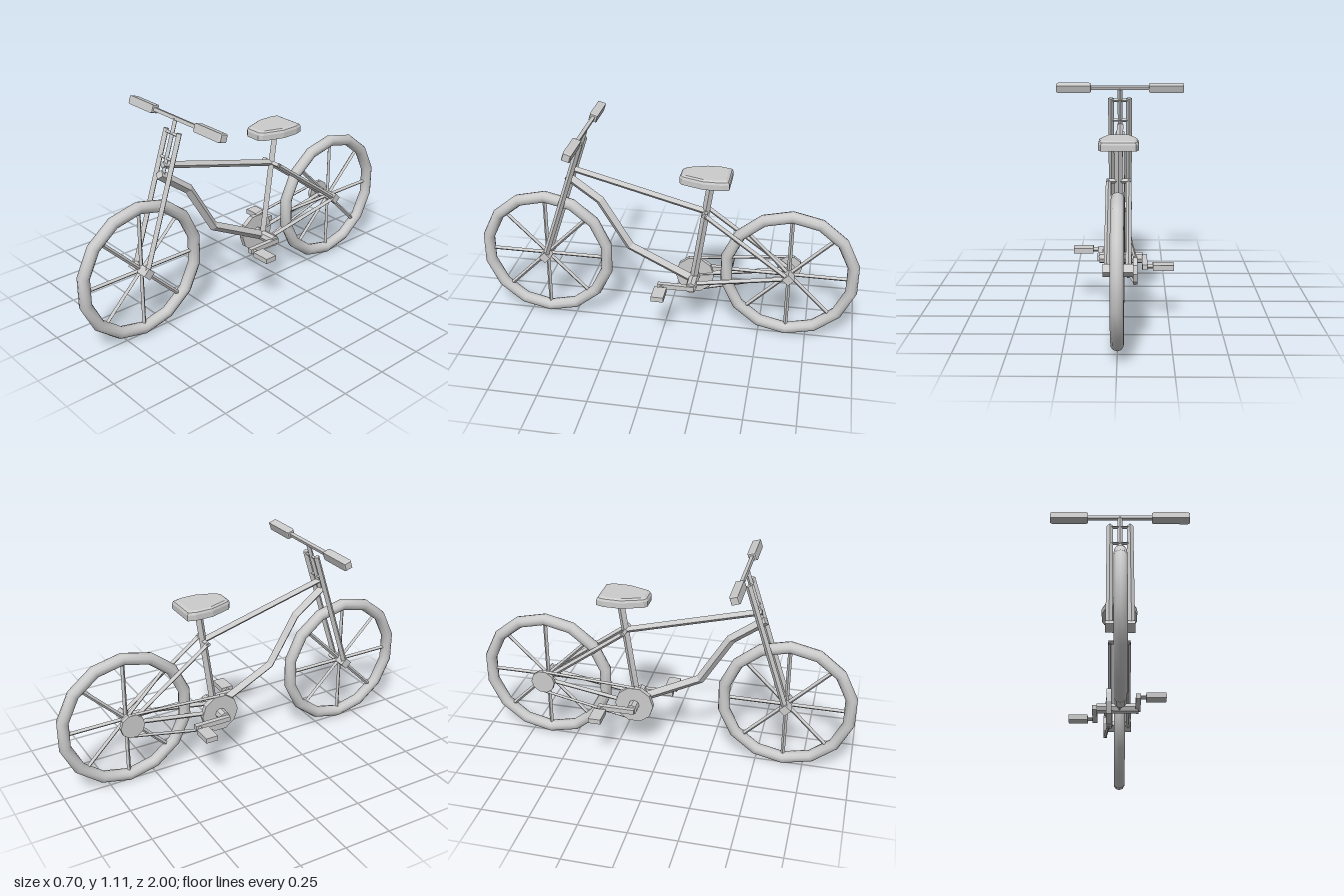
import * as THREE from 'three';

const flat = new THREE.MeshStandardMaterial({ color: 0xcccccc, flatShading: true });
const smooth = new THREE.MeshStandardMaterial({ color: 0xcccccc });
const UP = new THREE.Vector3(0, 1, 0);

export function createModel() {
  const model = new THREE.Group();
  model.name = 'bicycle';

  const add = (name, geometry, material = flat, parent = model) => {
    const mesh = new THREE.Mesh(geometry, material);
    mesh.name = name;
    parent.add(mesh);
    return mesh;
  };

  // Straight bar between two points, four-sided by default
  const bar = (name, a, b, r, sides = 4, parent = model) => {
    const p = new THREE.Vector3(...a), q = new THREE.Vector3(...b);
    const dir = q.clone().sub(p);
    const mesh = add(name, new THREE.CylinderGeometry(r, r, dir.length(), sides), flat, parent);
    mesh.position.copy(p).add(q).multiplyScalar(0.5);
    mesh.quaternion.setFromUnitVectors(UP, dir.normalize());
    return mesh;
  };

  const box = (name, size, pos) => {
    const mesh = add(name, new THREE.BoxGeometry(...size), flat);
    mesh.position.set(...pos);
    return mesh;
  };

  // Wheels: tyre and eight spokes
  const hubY = 0.365, hubZ = 0.645;
  for (const [name, z] of [['frontWheel', hubZ], ['rearWheel', -hubZ]]) {
    const wheel = new THREE.Group();
    wheel.name = name;
    wheel.position.set(0, hubY, z);
    model.add(wheel);
    const tyre = new THREE.TorusGeometry(0.332, 0.031, 10, 14);
    tyre.rotateZ(Math.PI / 2).rotateY(Math.PI / 2);
    add('tyre', tyre, smooth, wheel);
    for (let i = 0; i < 8; i++) {
      const a = i * Math.PI / 4;
      bar('spoke', [0, 0, 0], [0, Math.cos(a) * 0.315, Math.sin(a) * 0.315], 0.011, 4, wheel);
    }
  }
  bar('frontHub', [-0.067, hubY, hubZ], [0.067, hubY, hubZ], 0.031);
  bar('rearHub', [-0.09, hubY, -hubZ], [0.067, hubY, -hubZ], 0.031);

  // Steering axis: raked line through the front hub
  const rake = 0.315;
  const onFork = (x, y) => [x, y, hubZ - (y - hubY) * Math.tan(rake)];
  for (const s of [-1, 1]) bar('forkLeg', onFork(s * 0.05, hubY), onFork(s * 0.05, 1.03), 0.016);
  for (const y of [1.017, 0.902]) bar('forkBridge', onFork(-0.05, y), onFork(0.05, y), 0.009);
  bar('stem', onFork(0, 0.83), onFork(0, 1.085), 0.013);

  // Handlebar and bevelled grips
  const barPos = onFork(0, 1.088);
  box('handlebar', [0.4, 0.018, 0.018], barPos).rotation.x = -rake;
  for (const s of [-1, 1]) {
    const grip = new THREE.CylinderGeometry(1, 1, 0.19, 4, 3);
    const p = grip.attributes.position;
    for (let i = 0; i < p.count; i++) {
      const end = Math.abs(p.getY(i)) > 0.09;
      const r = end ? 0.025 : 0.030;
      p.setXYZ(i, p.getX(i) * r, end ? p.getY(i) : Math.sign(p.getY(i)) * 0.085, p.getZ(i) * r);
    }
    grip.rotateY(Math.PI / 4).rotateZ(Math.PI / 2);
    const mesh = add('grip', grip);
    mesh.position.set(s * 0.255, barPos[1], barPos[2]);
    mesh.rotation.x = -rake;
  }

  // Frame tubes
  const crank = [0, 0.283, -0.148];
  bar('topTube', [0, 0.875, 0.495], [0, 0.69, -0.205], 0.018);
  bar('seatPost', [0, 0.87, -0.232], crank, 0.02);

  // Bent down tube: diamond section swept along mitred joints
  const path = [[0.83, 0.515], [0.705, 0.345], [0.45, 0.19], [0.28, -0.15]]
    .map(([y, z]) => new THREE.Vector2(z, y));
  const pos = [], index = [];
  path.forEach((c, i) => {
    const d = new THREE.Vector2();
    if (i > 0) d.add(c.clone().sub(path[i - 1]).normalize());
    if (i < 3) d.add(path[i + 1].clone().sub(c).normalize());
    d.normalize();
    const r = 0.025, nz = -d.y * r, ny = d.x * r;
    pos.push(r, c.y, c.x, 0, c.y + ny, c.x + nz, -r, c.y, c.x, 0, c.y - ny, c.x - nz);
    if (i < 3) for (let k = 0; k < 4; k++) {
      const a = i * 4 + k, b = i * 4 + (k + 1) % 4;
      index.push(a, b, a + 4, b, b + 4, a + 4);
    }
  });
  index.push(0, 2, 1, 0, 3, 2, 12, 13, 14, 12, 14, 15);
  const down = new THREE.BufferGeometry();
  down.setAttribute('position', new THREE.Float32BufferAttribute(pos, 3));
  down.setIndex(index);
  down.computeVertexNormals();
  const tubeMaterial = flat.clone();
  tubeMaterial.side = THREE.DoubleSide;
  add('downTube', down, tubeMaterial);

  // Rear stays on both sides
  for (const s of [-1, 1]) {
    bar('seatStay', [s * 0.05, 0.69, -0.205], [s * 0.05, hubY, -hubZ], 0.013);
    bar('chainStay', [s * 0.05, crank[1], crank[2]], [s * 0.05, hubY, -hubZ], 0.013);
  }
  bar('stayBridge', [-0.06, 0.69, -0.205], [0.06, 0.69, -0.205], 0.013);

  // Saddle: rounded wedge outline with a bevelled top edge
  const half = [[0.04, -0.075], [0.06, -0.09], [0.098, -0.2], [0.098, -0.29], [0.085, -0.33]];
  const outline = [...half, ...half.map(([x, z]) => [-x, z]).reverse()];
  const rings = [[0.858, 1], [0.887, 1], [0.899, 0.95], [0.906, 0.84]];
  const sp = [], si = [], n = outline.length;
  for (const [y, k] of rings) for (const [x, z] of outline) sp.push(x * k, y, -0.205 + (z + 0.205) * k);
  for (let r = 0; r < 3; r++) for (let k = 0; k < n; k++) {
    const a = r * n + k, b = r * n + (k + 1) % n;
    si.push(a, b, a + n, b, b + n, a + n);
  }
  for (let k = 1; k < n - 1; k++) si.push(0, k + 1, k, 3 * n, 3 * n + k, 3 * n + k + 1);
  const saddle = new THREE.BufferGeometry();
  saddle.setAttribute('position', new THREE.Float32BufferAttribute(sp, 3));
  saddle.setIndex(si);
  saddle.computeVertexNormals();
  add('saddle', saddle, tubeMaterial);

  // Cranks and pedals
  const [, cy, cz] = crank;
  bar('crankAxle', [-0.12, cy, cz], [0.098, cy, cz], 0.029, 8);
  for (const [x, s, z, dir] of [[-0.13, -1, -0.305, -1], [0.095, 1, 0.005, 1]]) {
    box('crankArm', [0.026, 0.026, Math.abs(z - cz) + 0.04], [x, cy, (z + cz) / 2 + dir * 0.002]);
    bar('pedalAxle', [x, cy, z], [x + s * 0.06, cy, z], 0.011);
    box('pedal', [0.102, 0.027, 0.065], [x + s * 0.09, cy, z]);
  }

  // Chainring, sprocket and the two chain runs
  bar('chainring', [-0.068, cy, cz], [-0.042, cy, cz], 0.103, 10);
  bar('sprocket', [-0.09, hubY, -hubZ], [-0.07, hubY, -hubZ], 0.064, 10);
  for (const s of [-1, 1])
    bar('chainRun', [-0.056, cy + s * 0.097, cz], [-0.08, hubY + s * 0.06, -hubZ], 0.009);

  return model;
}
